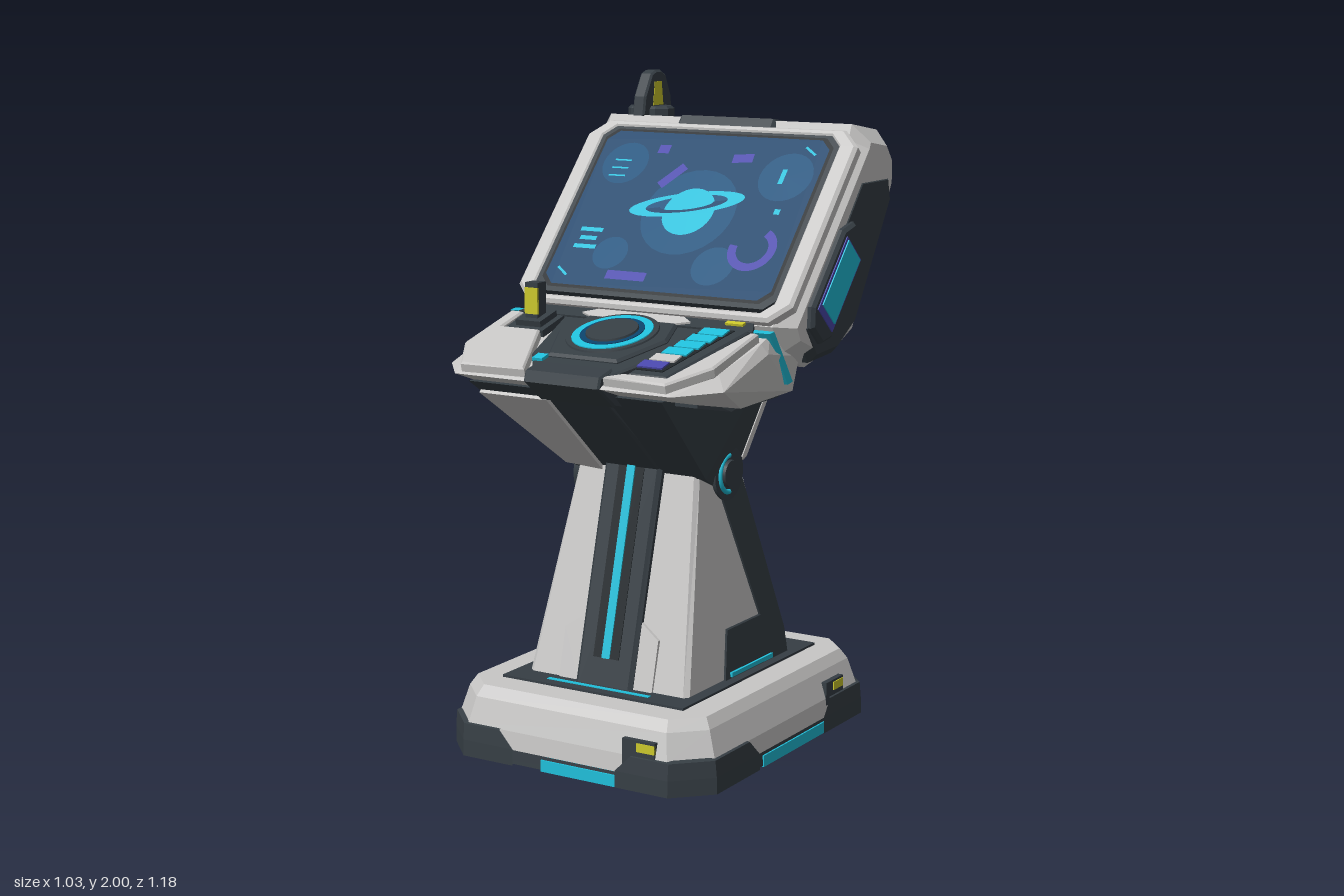
import * as THREE from 'three';
import { ConvexGeometry } from 'three/addons/geometries/ConvexGeometry.js';

export function createModel() {
  const model = new THREE.Group();
  model.name = 'arcadeTerminal';
  const mat = (name, color, side = THREE.FrontSide) => {
    const m = new THREE.MeshStandardMaterial({ color, side });
    m.name = name;
    return m;
  };
  const white = mat('shellWhite', 0xc8c7c6), dark = mat('slateDark', 0x363e44, THREE.DoubleSide), black = mat('grooveBlack', 0x1f2529);
  const blue = mat('screenBlue', 0x0c426a), glow = mat('screenGlow', 0x10517c), cyan = mat('lightCyan', 0x20bfda);
  const purple = mat('lightPurple', 0x4a48ac), yellow = mat('warningYellow', 0xcbc72c);

  const add = (name, geo, m, parent = model, pos = [0, 0, 0]) => {
    const mesh = new THREE.Mesh(geo, m);
    mesh.name = name;
    mesh.position.set(...pos);
    parent.add(mesh);
    return mesh;
  };
  const box = (name, w, h, d, m, pos, parent = model) => add(name, new THREE.BoxGeometry(w, h, d), m, parent, pos);
  const shapeOf = pts => new THREE.Shape(pts.map(p => new THREE.Vector2(...p)));
  const extrude = (pts, depth, bevel, hole) => {
    const shape = shapeOf(pts);
    if (hole) shape.holes.push(shapeOf(hole));
    return new THREE.ExtrudeGeometry(shape, {
      depth: depth - 2 * bevel, bevelEnabled: bevel > 0, bevelSize: bevel, bevelThickness: bevel, bevelOffset: -bevel, bevelSegments: 1,
    }).translate(0, 0, bevel);
  };
  // side profile of [z, y] points, running from x0 to x1
  const prism = (pts, x0, x1, bevel = 0) =>
    extrude(pts.map(([z, y]) => [-z, y]), x1 - x0, bevel).rotateY(Math.PI / 2).translate(x0, 0, 0);
  const sidePrism = (s, pts, a, b, bevel) => s > 0 ? prism(pts, a, b, bevel) : prism(pts, -b, -a, bevel);
  // plan outline of [x, z] points, rising by h
  const plate = (pts, h, bevel = 0) => extrude(pts.map(([x, z]) => [x, -z]), h, bevel).rotateX(-Math.PI / 2);
  const hull = pts => new ConvexGeometry(pts.map(p => new THREE.Vector3(...p)));
  const mirrored = pts => pts.flatMap(([x, y, z]) => [[x, y, z], [-x, y, z]]);
  // faceted surface through rows of points
  const skin = (rows, closed) => {
    const v = [];
    for (let r = 0; r + 1 < rows.length; r++) {
      const n = rows[r].length;
      for (let i = 0; i < (closed ? n : n - 1); i++) {
        const j = (i + 1) % n, a = rows[r][i], b = rows[r][j], c = rows[r + 1][j], d = rows[r + 1][i];
        v.push(...a, ...b, ...c, ...a, ...c, ...d);
      }
    }
    const g = new THREE.BufferGeometry();
    g.setAttribute('position', new THREE.Float32BufferAttribute(v, 3));
    g.computeVertexNormals();
    return g;
  };
  const octagon = ([w, d, c, y]) => [[c - w, d], [w - c, d], [w, d - c], [w, c - d], [w - c, -d], [c - w, -d], [-w, c - d], [-w, d - c]]
    .map(([x, z]) => [x, y, z + 0.03]);
  const taper = geo => { // narrows the pedestal towards its top
    const p = geo.attributes.position;
    for (let i = 0; i < p.count; i++) p.setX(i, p.getX(i) * (1 - 0.4 * (p.getY(i) - 0.22)));
    geo.computeVertexNormals();
    return geo;
  };

  // ---- Base: hollow chamfered plinth ----
  add('baseRim', skin([[.4, .49, .08, .05], [.41, .5, .08, .004], [.458, .547, .1, .004], [.455, .544, .1, .045]].map(octagon), true), dark);
  add('baseShell', skin([[.455, .543, .1, .045], [.45, .538, .1, .1], [.425, .515, .09, .18], [.405, .49, .08, .212], [.3, .39, .05, .213]].map(octagon), true), white);
  add('baseInnerWall', skin([[.33, .42, .06, .12], [.4, .49, .08, .05]].map(octagon), true), white);
  box('baseFloor', 0.68, 0.02, 0.86, dark, [0, 0.13, 0.03]);
  for (let i = -2; i <= 2; i++) box('floorRib', 0.07, 0.012, 0.62, black, [i * 0.1, 0.116, 0.03]);
  box('baseDeck', 0.64, 0.02, 0.8, dark, [0, 0.21, 0.03]);
  for (const z of [0.39, -0.33]) box('deckLight', 0.36, 0.006, 0.016, cyan, [0, 0.219, z]);
  for (const sx of [1, -1]) for (const sz of [1, -1]) {
    const row = (y, o, e) => [[.18 + e, .546 + o], [.36, .546 + o], [.458 + o, .448], [.458 + o, .2 + e]].map(([x, z]) => [x * sx, y, z * sz + 0.03]);
    add('cornerFoot', skin([row(0, .006, 0), row(.05, .005, 0), row(.1, 0, .05), row(.11, -.04, .06)], false), dark);
    box('cornerBaseLight', 0.1, 0.034, 0.03, cyan, [sx * 0.385, 0.0175, 0.03 + sz * 0.473]).rotation.y = sx * sz * Math.PI / 4;
  }
  for (const s of [1, -1]) {
    box('sideBaseLight', 0.072, 0.035, 0.4, cyan, [s * 0.425, 0.0175, 0]);
    box('endBaseLight', 0.28, 0.035, 0.072, cyan, [s * 0.06, 0.0175, 0.03 + s * 0.515]);
    box('endTab', 0.11, 0.1, 0.04, dark, [s * 0.255, 0.1, 0.03 + s * 0.521]);
    box('endTabMark', 0.06, 0.026, 0.008, yellow, [s * 0.28, 0.13, 0.03 + s * 0.54]);
    box('sideTab', 0.04, 0.1, 0.11, dark, [s * 0.432, 0.1, -s * 0.26]);
    box('sideTabMark', 0.008, 0.026, 0.06, yellow, [s * 0.451, 0.13, -s * 0.28]);
  }

  // ---- Pedestal ----
  add('pedestal', taper(prism([[.35, .21], [.17, .87], [-.1, .8], [-.25, .21]], -.28, .285, .015)), white);
  for (const s of [1, -1]) {
    const brace = [[.07, .8], [-.1, .37], [.1, .37], [.14, .21], [-.252, .21], [-.245, .3], [-.08, .8]];
    add('sideBrace', taper(sidePrism(s, brace, .2, .29, .004)), dark);
    box('braceLight', 0.008, 0.014, 0.25, cyan, [s * 0.292, 0.232, -0.02]);
    add('frontFootPlate', hull([.09, .165].flatMap((x, i) => [[.357, .21], [.302 + i * .015, .42 - i * .05]].flatMap(([z, y]) => [[s * x, y, z], [s * x, y, z - .04]]))), white);
  }
  // Front and back spines with light lines
  add('frontSpine', prism([[.37, .21], [.2, .86], [.54, 1.14], [.4, 1.14], [.1, .86], [.3, .21]], -.1, .1, .012), dark);
  add('frontSpineGroove', prism([[.349, .3], [.202, .86], [.18, .86], [.33, .3]], -.045, .045), black);
  add('frontSpineLight', prism([[.352, .3], [.204, .87], [.19, .87], [.33, .3]], -.014, .014), cyan);
  add('backSpine', prism([[-.27, .21], [-.135, .78], [-.395, 1.12], [-.34, 1.16], [-.05, .78], [-.2, .21]], -.08, .08, .01), dark);
  add('backSpineLight', prism([[-.243, .34], [-.139, .78], [-.355, 1.06], [-.34, 1.07], [-.12, .78], [-.23, .34]], -.016, .016), cyan);

  // ---- Neck ----
  add('neck', hull([
    [-.38, 1.13, .5], [.29, 1.13, .5], [-.36, 1.14, -.12], [.28, 1.14, -.12], [-.25, .84, .17], [.24, .84, .17],
    [-.2, .77, .02], [.2, .77, .02], [-.19, .8, -.09], [.19, .8, -.09], [-.2, 1.13, -.34], [.2, 1.13, -.34], [-.2, 1.2, -.3], [.2, 1.2, -.3],
  ]), dark);
  add('consoleUnderplate', hull(mirrored([[.4, 1.082, .02], [.39, 1.078, .28], [.36, 1.107, .42], [.4, 1.13, .02], [.36, 1.14, .42]])), dark);
  add('neckFrontPlate', hull([[-.36, 1.1, .468], [-.12, 1.1, .468], [-.12, .84, .172], [-.245, .85, .183]]
    .flatMap(([x, y, z]) => [[x, y - .007, z + .007], [x, y + .015, z - .015]])), white);
  for (const s of [1, -1]) {
    const cover = [[-.14, .84], [-.375, 1.13], [-.33, 1.15], [-.08, .84]];
    add('neckBackPlate', sidePrism(s, cover, .095, .205, .015), white);
    add('hingeRoller', new THREE.CylinderGeometry(.06, .06, .15, 24).rotateZ(Math.PI / 2), dark, model, [s * .18, 1.185, -.325]);
  }
  // Pivot knobs
  for (const [s, x, y, z, r] of [[1, .185, .83, .016, .09], [-1, -.22, .785, -.015, .115]]) {
    const len = s > 0 ? 0.09 : 0.13;
    const knob = new THREE.Group();
    knob.name = 'pivotKnob';
    knob.position.set(x, y, z);
    knob.rotation.z = -s * Math.PI / 2;
    model.add(knob);
    add('knobBody', new THREE.CylinderGeometry(r * .92, r, len, 28), dark, knob);
    add('knobLight', new THREE.TorusGeometry(r * .62, .008, 8, 28, s > 0 ? Math.PI : Math.PI * 1.6).rotateX(Math.PI / 2), cyan, knob, [0, len / 2, 0]);
    add('knobCap', new THREE.CylinderGeometry(r * .45, r * .5, .02, 20), dark, knob, [0, len / 2, 0]);
  }

  // ---- Monitor ----
  add('monitorShell', prism([[.125, 1.306], [-.335, 1.815], [-.355, 1.862], [-.52, 1.835], [-.58, 1.76], [-.58, 1.66], [-.31, 1.21], [-.07, 1.16], [.08, 1.22]], -.48, .485, .05), white);
  add('topClip', prism([[-.315, 1.818], [-.35, 1.868], [-.525, 1.843], [-.587, 1.765], [-.588, 1.655], [-.5, 1.62], [-.35, 1.76]], -.172, .178, .012), dark);
  add('monitorSpine', prism([[-.585, 1.7], [-.592, 1.62], [-.372, 1.18], [-.28, 1.2], [-.5, 1.7]], -.08, .08, .012), dark);
  add('monitorSpineLight', prism([[-.566, 1.56], [-.426, 1.28], [-.41, 1.28], [-.55, 1.56]], -.016, .016), cyan);
  const tilt = -0.737;
  for (const s of [1, -1]) {
    const cheek = [[-.32, 1.71], [-.52, 1.71], [-.54, 1.62], [-.31, 1.26], [-.19, 1.19], [-.04, 1.18], [.04, 1.29]];
    add('sideCheek', sidePrism(s, cheek, .42, .488, .025), dark);
    const pod = new THREE.Group();
    pod.name = 'sidePod';
    pod.position.set(s * .483, 1.405, -.15);
    pod.rotation.x = tilt;
    model.add(pod);
    add('podBody', prism([[.08, -.14], [.08, .14], [.04, .2], [-.04, .2], [-.08, .14], [-.08, -.14], [-.04, -.19], [.04, -.19]], -.024, .024, .01), dark, pod);
    box('podLightEdge', .03, .265, .118, purple, [s * .0125, 0, 0], pod);
    box('podLight', .03, .235, .1, cyan, [s * .0165, .008, 0], pod);
  }

  // Screen set in a chamfered frame
  const screen = new THREE.Group();
  screen.name = 'screen';
  screen.position.set(0.005, 1.59, -0.106);
  screen.rotation.x = tilt;
  model.add(screen);
  const panel = (w, h, c) => [[c - w, -h], [w - c, -h], [w, c - h], [w, h - c], [w - c, h], [c - w, h], [-w, h - c], [-w, c - h]];
  add('screenFrame', extrude(panel(.482, .353, .06), .045, .01, panel(.418, .322, .035)), white, screen, [0, -.01, -.037]);
  add('bezel', extrude(panel(.425, .322, .035), .02, 0), dark, screen, [0, 0, -.017]);
  add('bezelInner', new THREE.ShapeGeometry(shapeOf(panel(.407, .306, .035))), black, screen, [0, 0, .005]);
  add('display', new THREE.ShapeGeometry(shapeOf(panel(.397, .296, .035))), blue, screen, [0, 0, .007]);
  const disc = (name, r, x, y, m, z = .009) => add(name, new THREE.CircleGeometry(r, 28), m, screen, [x, y, z]);
  const bar = (name, w, h, x, y, m, rot = 0) => { add(name, new THREE.PlaneGeometry(w, h), m, screen, [x, y, .011]).rotation.z = rot; };
  const arc = (name, r0, r1, x, y, m, a0, len, z = .012) => add(name, new THREE.RingGeometry(r0, r1, 32, 1, a0, len), m, screen, [x, y, z]);
  disc('planetHalo', .16, .01, 0, glow);
  for (const [r, x, y] of [[.08, -.29, .17], [.09, .29, .15], [.06, -.2, -.17], [.07, .17, -.19]]) disc('nebula', r, x, y, glow);
  disc('planet', .088, .01, 0, cyan, .011);
  const ringGap = arc('planetRingGap', .09, .14, -.005, .025, blue, 3.14, 3.14, .013);
  const ring = arc('planetRing', .138, .195, -.005, .025, cyan, 0, Math.PI * 2, .015);
  for (const r of [ringGap, ring]) { r.scale.y = .22; r.rotation.z = .19; }
  arc('purpleOrbit', .052, .08, .28, -.12, purple, 3, 4.4);
  for (const [w, x, y, a] of [[.1, -.1, .13, .9], [.14, -.11, -.25, 0], [.07, .12, .21, .1], [.04, -.17, .23, 0]]) bar('purpleStreak', w, .032, x, y, purple, a);
  for (let i = 0; i < 3; i++) {
    bar('readoutLine', .08 - (i % 2) * .02, .015, -.3, -.09 - i * .032, cyan);
    bar('upperReadoutLine', .06, .006, -.3, .12 + i * .03, cyan);
  }
  bar('starLarge', .016, .055, .28, .15, cyan);
  bar('starSmall', .02, .02, .31, .02, cyan);
  for (const s of [1, -1]) bar('cornerMark', .05, .008, s * .34, s * .25, cyan, -.6);

  // ---- Control console ----
  add('consoleShell', hull(mirrored([
    [.436, 1.285, .14], [.446, 1.27, .21], [.43, 1.212, .42], [.36, 1.172, .57], [.465, 1.24, .2], [.47, 1.17, .46], [.37, 1.165, .58],
    [.435, 1.1, 0], [.42, 1.09, .28], [.38, 1.128, .47], [.44, 1.2, -.03],
  ])), white);
  add('consoleSeamLight', prism([[.178, 1.295], [.148, 1.298], [.035, 1.135], [.065, 1.13]], -.455, .455), cyan);
  add('consoleNose', prism([[.51, 1.214], [.575, 1.198], [.586, 1.165], [.5, 1.1], [.4, 1.08]], -.125, .135, .006), dark);
  const deck = new THREE.Group();
  deck.name = 'controlDeck';
  deck.position.set(0, 1.231, 0.35);
  deck.rotation.x = 0.264;
  model.add(deck);
  const L = z => (z - 0.35) / 0.965;
  const flat = (name, pts, h, m, y, bevel = 0) => add(name, plate(pts.map(([x, z]) => [x, L(z)]), h, bevel), m, deck, [0, y, 0]);
  flat('leftShoulder', [[-.43, .2], [-.385, .2], [-.385, .31], [-.25, .31], [-.13, .565], [-.35, .572], [-.43, .44]], .036, white, -.006, .006);
  flat('rightShoulder', [[.41, .2], [.435, .2], [.43, .44], [.35, .572], [.14, .565], [.19, .53], [.33, .53]], .036, white, -.006, .006);
  flat('controlBackStrip', [[-.38, .13], [.38, .13], [.41, .19], [-.41, .19]], .03, dark, -.005);
  flat('controlPanel', [[-.25, .17], [.24, .17], [.2, .42], [.14, .54], [-.12, .54], [-.19, .44]], .024, dark, -.005, .006);
  flat('dialTrim', [[-.19, .17], [-.15, .14], [.15, .14], [.19, .17], [.15, .19], [-.15, .19]], .035, white, -.004);
  flat('dialHousing', [[-.15, .17], [.15, .17], [.19, .3], [.12, .46], [-.12, .46], [-.19, .3]], .032, dark, -.002, .008);
  const dial = (name, r0, r1, h, m, y) => add(name, new THREE.CylinderGeometry(r0, r1, h, 36), m, deck, [0, y, L(.295)]);
  dial('dialSeat', .138, .142, .01, dark, .03);
  dial('dialLight', .122, .124, .012, cyan, .032);
  dial('dialInset', .097, .097, .01, blue, .035);
  dial('dialCap', .078, .086, .024, dark, .034);
  box('smallButton', .035, .016, .035, cyan, [-.135, .02, L(.475)], deck);
  flat('keyTray', [[.24, .17], [.4, .17], [.325, .525], [.195, .525]], .03, dark, -.004, .006);
  flat('keyBed', [[.255, .195], [.355, .195], [.295, .495], [.2, .495]], .004, black, .024);
  for (let i = 0; i < 6; i++) box('key', .084, .01, .044, i === 5 ? purple : i === 4 ? white : cyan, [.3 - i * .0112, .028, L(.222 + i * .048)], deck);
  flat('switchPlate', [[-.38, .17], [-.245, .17], [-.245, .305], [-.38, .305]], .026, dark, -.004);
  box('switchBase', .09, .03, .09, dark, [-.31, .025, L(.24)], deck);
  box('warningStrip', .06, .008, .018, yellow, [.33, .028, L(.15)], deck);
  // Lever
  box('leverStem', .045, .14, .045, dark, [-.31, 1.33, .25]);
  box('leverFace', .046, .08, .008, yellow, [-.31, 1.345, .271]);

  // ---- Beacon on the monitor ----
  add('beaconFoot', plate([[-.4, -.45], [-.37, -.48], [-.28, -.48], [-.25, -.45], [-.25, -.41], [-.28, -.38], [-.37, -.38], [-.4, -.41]], .055, .008), dark, model, [0, 1.833, 0]);
  add('beaconArch', prism([[-.345, 1.86], [-.355, 1.92], [-.395, 1.99], [-.42, 2], [-.45, 2], [-.48, 1.985], [-.51, 1.92], [-.52, 1.85]], -.345, -.3, .006), dark);
  add('beaconLight', prism([[-.4, 1.89], [-.41, 1.965], [-.45, 1.965], [-.46, 1.89]], -.3465, -.2985), yellow);
  return model;
}
